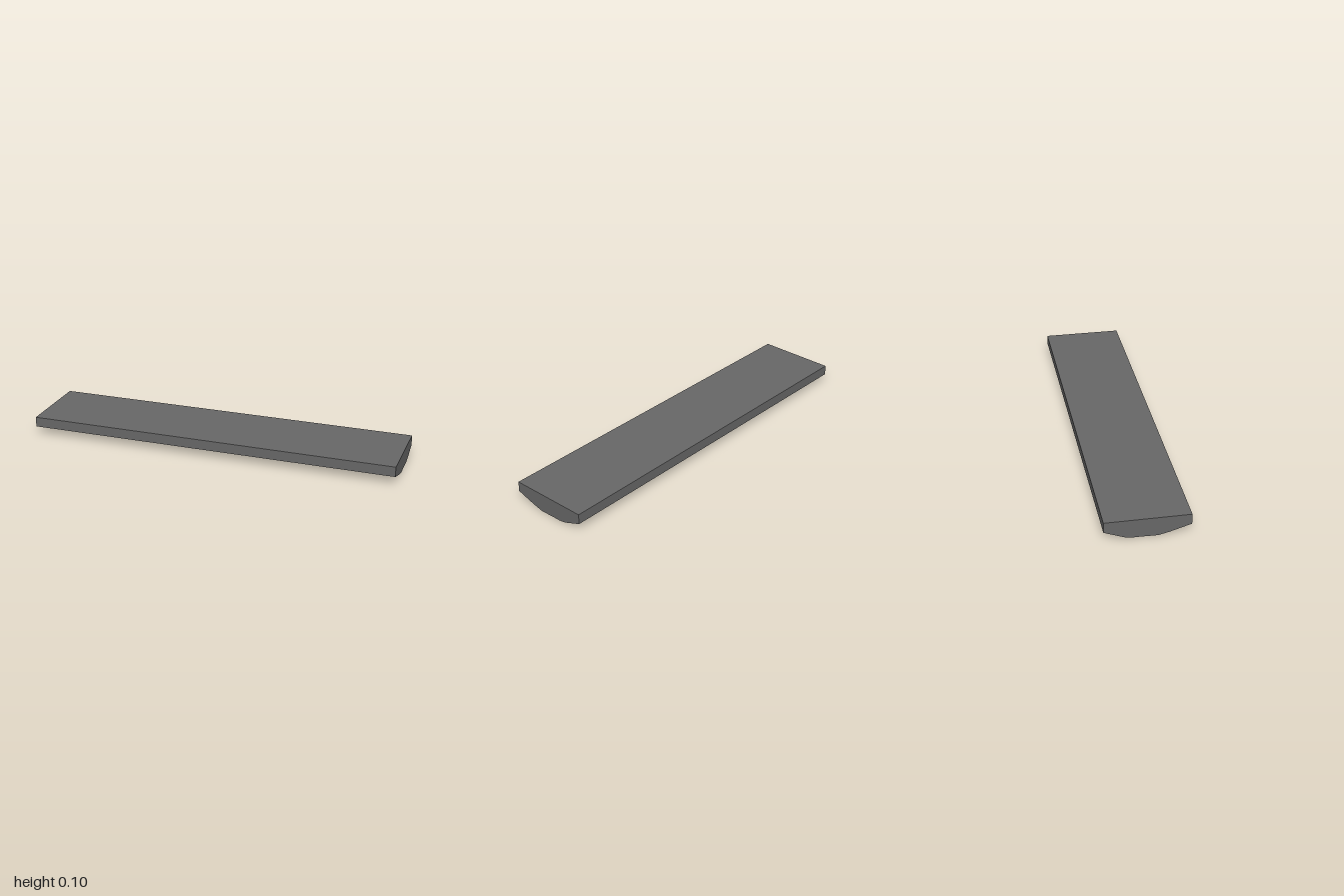
import * as THREE from 'three';
import { mergeGeometries } from 'three/addons/utils/BufferGeometryUtils.js';

const HALF = 1, TOP = 0.1, DEPTH = 0.02;
const INNER0 = -0.977, INNER1 = 0.968; // ends of the recesses

// underside cross-section, front to back, as [z, y]
const under = [[0.213, 0.046], [0.105, 0.013], [0.05, 0], [-0.03, 0.002], [-0.075, 0.002], [-0.113, 0.008], [-0.213, 0.046]];
// recessed panels, [front z, back z]
const recesses = [[0.199, 0.118], [0.05, -0.056], [-0.118, -0.196]];

function heightAt(z) {
  for (let i = 0; i < under.length - 1; i++) {
    const [z0, y0] = under[i], [z1, y1] = under[i + 1];
    if (z <= z0 && z >= z1) return y0 + (y1 - y0) * (z0 - z) / (z0 - z1);
  }
  return TOP;
}

// underside points between two z values, ends included
function underBetween(a, b) {
  return [[a, heightAt(a)], ...under.filter(([z]) => z < a - 1e-6 && z > b + 1e-6), [b, heightAt(b)]];
}

// sweep a line of [z, y] points along x
function strip(points, x0, x1) {
  const pos = [];
  for (let i = 0; i < points.length - 1; i++) {
    const [pz, py] = points[i], [qz, qy] = points[i + 1];
    pos.push(x0, py, pz, x0, qy, qz, x1, qy, qz, x0, py, pz, x1, qy, qz, x1, py, pz);
  }
  const g = new THREE.BufferGeometry();
  g.setAttribute('position', new THREE.Float32BufferAttribute(pos, 3));
  g.computeVertexNormals();
  return g;
}

// flat outline of [z, y] points at x, facing +x or -x
function cap(points, x, dir) {
  const g = new THREE.ShapeGeometry(new THREE.Shape(points.map(([z, y]) => new THREE.Vector2(-z * dir, y))));
  g.rotateY(dir * Math.PI / 2).translate(x, 0, 0);
  const flat = g.toNonIndexed();
  flat.deleteAttribute('uv');
  return flat;
}

export function createModel() {
  const group = new THREE.Group();
  const body = new THREE.MeshStandardMaterial({ name: 'housing grey', color: 0x686868 });
  const light = new THREE.MeshStandardMaterial({ name: 'panel light grey', color: 0xdddddd });
  const add = (name, parts, material) => {
    const mesh = new THREE.Mesh(mergeGeometries(parts), material);
    mesh.name = name;
    group.add(mesh);
  };

  // housing: top, long sides and ends
  const front = under[0], back = under[under.length - 1];
  const shell = [back, [back[0], TOP], [front[0], TOP], front];
  const outline = [...under, [back[0], TOP], [front[0], TOP]];
  add('housing', [strip(shell, -HALF, HALF), cap(outline, HALF, 1), cap(outline, -HALF, -1)], body);

  // frame: end rims and the ribs between the recesses
  const frame = [strip(under, -HALF, INNER0), strip(under, INNER1, HALF)];
  let start = front[0];
  for (const [a, b] of [...recesses, [back[0], back[0]]]) {
    frame.push(strip(underBetween(start, a), INNER0, INNER1));
    start = b;
  }

  // recesses: light panels, with walls belonging to the frame
  recesses.forEach(([a, b], i) => {
    const rim = underBetween(a, b);
    const floor = rim.map(([z, y]) => [z, y + DEPTH]);
    const notch = [...floor, ...rim.slice().reverse()];
    frame.push(
      strip([rim[0], floor[0]], INNER0, INNER1),
      strip([floor[floor.length - 1], rim[rim.length - 1]], INNER0, INNER1),
      cap(notch, INNER0, 1),
      cap(notch, INNER1, -1),
    );
    add(['frontPanel', 'centrePanel', 'backPanel'][i], [strip(floor, INNER0, INNER1)], light);
  });
  add('undersideFrame', frame, body);
  return group;
}
